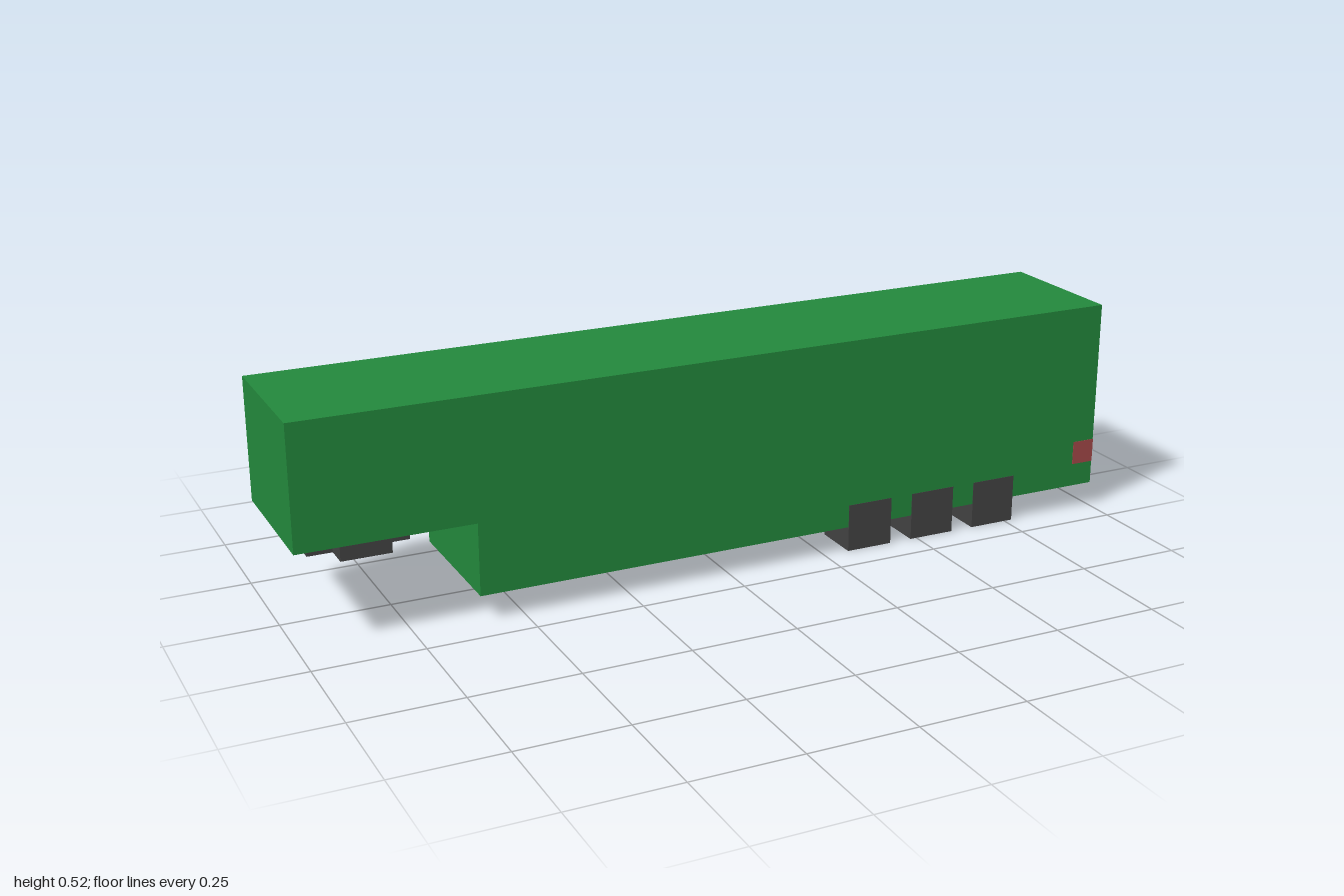
import * as THREE from 'three';

const U = 0.0573; // block unit the whole trailer is built on
const HALF_W = 3 * U;

export function createModel() {
  const group = new THREE.Group();
  const green = new THREE.MeshStandardMaterial({ color: 0x23883c });
  green.name = 'body green';
  const dark = new THREE.MeshStandardMaterial({ color: 0x424242 });
  dark.name = 'rubber grey';
  const red = new THREE.MeshStandardMaterial({ color: 0xa24848 });
  red.name = 'lamp red';

  const add = (geometry, material, name) => {
    const mesh = new THREE.Mesh(geometry, material);
    mesh.name = name;
    group.add(mesh);
    return mesh;
  };
  const outline = (points) => new THREE.Shape(points.map(([x, y]) => new THREE.Vector2(x, y)));

  // Trailer body: stepped side profile extruded across the width
  const profile = outline([
    [-0.6, 0.06], [1, 0.06], [1, 9 * U], [-1, 9 * U], [-1, 4 * U], [-0.6, 4 * U],
  ]);
  const body = new THREE.ExtrudeGeometry(profile, { depth: 2 * HALF_W, bevelEnabled: false });
  body.translate(0, 0, -HALF_W);
  add(body, green, 'trailerBody');

  // Coupling plate: plus-shaped block under the raised nose
  const plus = outline([
    [-2, -1], [-1, -1], [-1, -2], [1, -2], [1, -1], [2, -1],
    [2, 1], [1, 1], [1, 2], [-1, 2], [-1, 1], [-2, 1],
  ].map(([x, y]) => [x * U, y * U]));
  const coupling = new THREE.ExtrudeGeometry(plus, { depth: U, bevelEnabled: false });
  coupling.rotateX(-Math.PI / 2);
  coupling.translate(-0.83, 3 * U, 0);
  add(coupling, dark, 'couplingPlate');

  // Lamp face with clipped inner corners, drawn from the outer edge inward
  const c = 0.013;
  const lampShape = outline([
    [0, 0], [2 * U - c, 0], [2 * U - c * 0.3, c * 0.5], [2 * U, c],
    [2 * U, U - c], [2 * U - c * 0.3, U - c * 0.5], [2 * U - c, U], [0, U],
  ]);

  for (const side of [1, -1]) {
    const label = side > 0 ? 'Front' : 'Back';

    // Three square wheels per side, just proud of the body
    [0.37, 0.541, 0.713].forEach((x, i) => {
      const wheel = add(new THREE.BoxGeometry(2 * U, 2 * U, 2 * U), dark, `wheel${label}${i + 1}`);
      wheel.position.set(x, U, side * (2 * U + 0.001));
    });

    // Tail lamp on the end face
    const lamp = new THREE.ExtrudeGeometry(lampShape, { depth: 0.002, bevelEnabled: false });
    if (side < 0) {
      // Turn over so the clipped end still points inward
      lamp.rotateX(Math.PI);
      lamp.translate(0, U, 0.002);
      lamp.rotateY(-Math.PI / 2);
      lamp.translate(0.002, 0, 0);
    } else {
      lamp.rotateY(Math.PI / 2);
    }
    lamp.translate(0.999, 2 * U + 0.002, side * HALF_W);
    add(lamp, red, `tailLamp${label}`);

    // Lamp wrapping onto the side wall
    const wrap = add(new THREE.BoxGeometry(U, U, 0.002), red, `sideLamp${label}`);
    wrap.position.set(1 - U / 2, 2.5 * U + 0.002, side * HALF_W);
  }

  return group;
}
